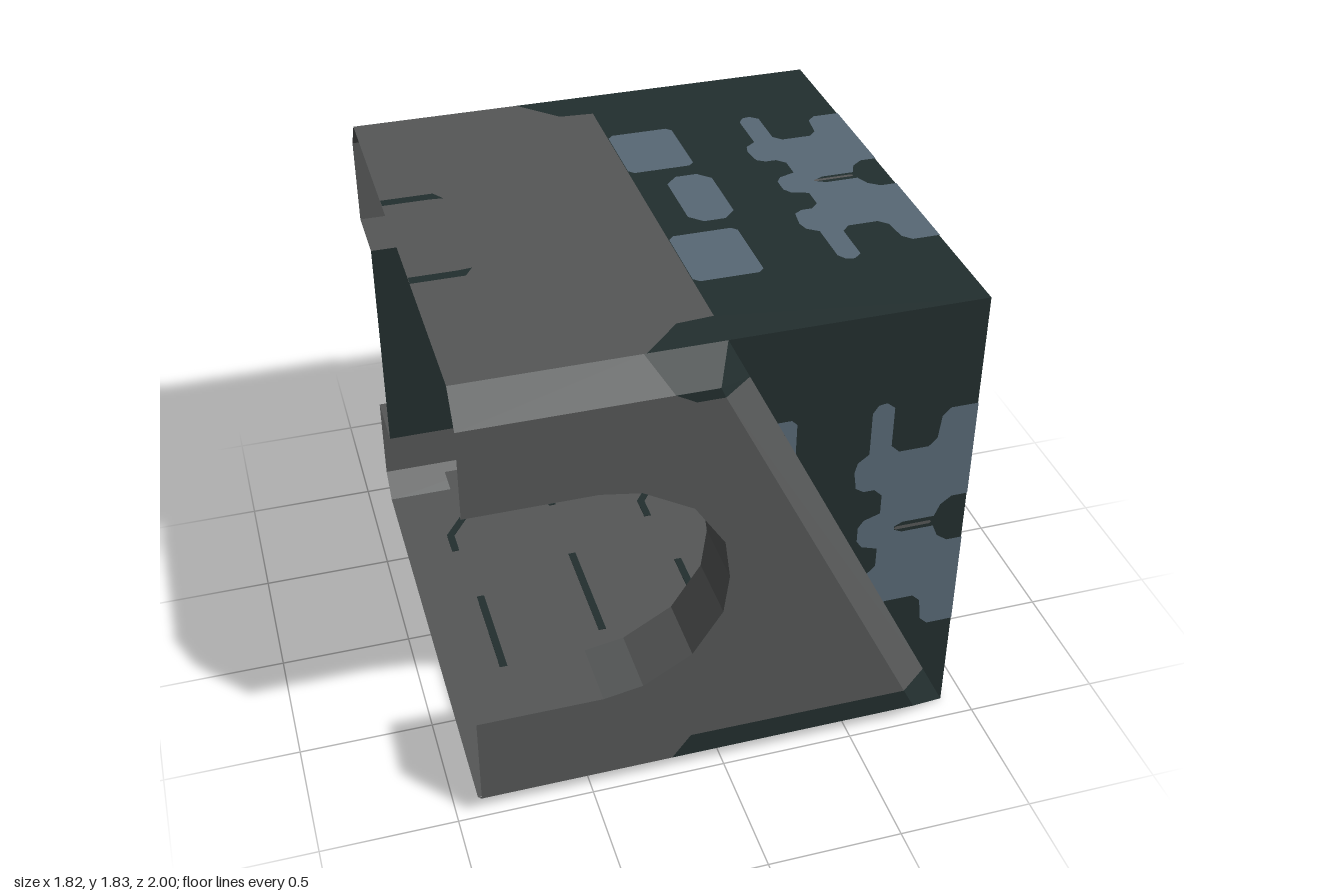
import * as THREE from 'three';

const material = (name, color) => new THREE.MeshStandardMaterial({ name, color, side: THREE.DoubleSide });
const H = 0.91, TOP = 1.82;

// Mirror an open outline across v = 0
const mirrored = (half) => [...half, ...half.slice().reverse().map(([u, v]) => [u, -v])];

// Keep the part of an outline lying right of the slanted edge (0, TOP) - (H, 0)
function clipToTriangle(pts) {
  const side = ([x, y]) => x + y / 2 - H;
  const out = [];
  pts.forEach((p, i) => {
    const q = pts[(i + 1) % pts.length], a = side(p), b = side(q);
    if (a >= 0) out.push(p);
    if (a * b < 0) out.push([p[0] + (q[0] - p[0]) * a / (a - b), p[1] + (q[1] - p[1]) * a / (a - b)]);
  });
  return out;
}

// Flat sheet from a 2D outline, placed in space by a mapping function
function sheet(parent, name, mat, pts, place) {
  if (pts.length < 3) return;
  const outline = pts.map(([u, v]) => new THREE.Vector2(u, v));
  if (THREE.ShapeUtils.isClockWise(outline)) outline.reverse();
  const geo = new THREE.BufferGeometry();
  const pos = outline.flatMap((p) => place(p.x, p.y));
  geo.setAttribute('position', new THREE.Float32BufferAttribute(pos, 3));
  geo.setIndex(THREE.ShapeUtils.triangulateShape(outline, []).flat());
  const flat = geo.toNonIndexed();
  flat.computeVertexNormals();
  const mesh = new THREE.Mesh(flat, mat);
  mesh.name = name;
  parent.add(mesh);
}

// Strip of quads between two matching 3D edges
function strip(parent, name, mat, a, b) {
  const pos = [];
  for (let i = 0; i < a.length - 1; i++) pos.push(...a[i], ...b[i], ...b[i + 1], ...a[i], ...b[i + 1], ...a[i + 1]);
  const geo = new THREE.BufferGeometry();
  geo.setAttribute('position', new THREE.Float32BufferAttribute(pos, 3));
  geo.computeVertexNormals();
  const mesh = new THREE.Mesh(geo, mat);
  mesh.name = name;
  parent.add(mesh);
}

const rect = (u0, u1, v0, v1, c = 0.02) => [
  [u0 + c, v0], [u1 - c, v0], [u1, v0 + c], [u1, v1 - c], [u1 - c, v1], [u0 + c, v1], [u0, v1 - c], [u0, v0 + c]];

// Painted blue shapes shared by the roof and the side walls
const splash = mirrored([[0.64, 0.008], [0.67, 0.022], [0.79, 0.022], [0.81, 0.07], [0.85, 0.1], [H, 0.1],
  [H, 0.49], [0.81, 0.49], [0.78, 0.46], [0.77, 0.37], [0.74, 0.34], [0.63, 0.34], [0.6, 0.37], [0.6, 0.53],
  [0.57, 0.555], [0.54, 0.55], [0.52, 0.52], [0.52, 0.35], [0.48, 0.32], [0.47, 0.28], [0.48, 0.21],
  [0.51, 0.19], [0.55, 0.19], [0.58, 0.16], [0.58, 0.08], [0.52, 0.06], [0.5, 0.03]]);
const paint = [splash, rect(0, 0.25, 0.24, 0.55), rect(0, 0.25, -0.55, -0.24), rect(0.11, 0.28, -0.17, 0.17, 0.045)];

// Half of the rounded side opening, heights measured from its middle
const opening = mirrored([[-H, 0.455], [-0.455, 0.455], [-0.31, 0.43], [-0.13, 0.325], [-0.02, 0.155], [0, 0]])
  .filter((p, i) => i !== 6)
  .map(([x, v]) => [x, v + 0.91]);

function buildSide(name, grey, dark, blue) {
  const g = new THREE.Group();
  g.name = name;
  const at = (z) => (x, y) => [x, y, z];

  // Recessed triangular wall with painted shapes
  sheet(g, 'sideWall', dark, [[0, TOP], [H, 0], [H, TOP]], at(H));
  paint.forEach((p) => sheet(g, 'sidePaint', blue, clipToTriangle(p.map(([x, v]) => [x, v + 0.91])), at(H + 0.004)));
  sheet(g, 'sidePaintLine', grey, rect(0.64, 0.78, 0.903, 0.917, 0.005), at(H + 0.005));

  // Raised plate with the opening and dark corner patches
  sheet(g, 'raisedPlate', grey, [[-H, 1.705], [-0.2, 1.705], [-0.13, 1.665], [-0.033, 1.665], [0.705, 0.18],
    [-0.13, 0.185], [-0.2, 0.09], [-H, 0.09], ...opening.slice().reverse()], at(1));
  sheet(g, 'plateTopPatch', dark, [[-0.2, 1.705], [-0.05, 1.705], [-0.033, 1.665], [-0.13, 1.665]], at(1));
  sheet(g, 'plateBottomPatch', dark, [[-0.2, 0.09], [-0.13, 0.185], [0.705, 0.18], [0.75, 0.09]], at(1));

  // Bevels around the plate
  const bevel = (label, mat, a, b) =>
    strip(g, label, mat, a.map(([x, y]) => [x, y, 1]), b.map(([x, y]) => [x, y, H]));
  bevel('topBevel', grey, [[-H, 1.705], [-0.2, 1.705]], [[-H, TOP], [-0.28, TOP]]);
  bevel('topBevelPatch', dark, [[-0.2, 1.705], [-0.05, 1.705]], [[-0.28, TOP], [0, TOP]]);
  bevel('slantBevelTop', dark, [[-0.05, 1.705], [-0.033, 1.665]], [[0, TOP], [0.0775, 1.665]]);
  bevel('slantBevel', grey, [[-0.033, 1.665], [0.705, 0.18]], [[0.0775, 1.665], [0.82, 0.18]]);
  bevel('slantBevelBottom', dark, [[0.705, 0.18], [0.75, 0.09]], [[0.82, 0.18], [H, 0]]);
  bevel('bottomBevelPatch', dark, [[0.75, 0.09], [-0.2, 0.09]], [[H, 0], [-0.3, 0]]);
  bevel('bottomBevel', grey, [[-0.2, 0.09], [-H, 0.09]], [[-0.3, 0], [-H, 0]]);

  // Inner lip of the opening
  strip(g, 'openingLip', grey, opening.map(([x, y]) => [x, y, 1]), opening.map(([x, y]) => [x, y, 0.74]));
  return g;
}

export function createModel() {
  const model = new THREE.Group();
  model.name = 'hollowBlock';
  const grey = material('grey', 0x555757);
  const dark = material('darkGreen', 0x222e2e);
  const blue = material('slateBlue', 0x586875);

  const front = buildSide('frontSide', grey, dark, blue);
  const back = buildSide('backSide', grey, dark, blue);
  back.scale.z = -1;
  // Only the back opening is closed off
  sheet(back, 'backOpeningPanel', dark, opening, (x, y) => [x, y, 0.74]);
  model.add(front, back);

  // Roof
  const roofAt = (y) => (x, z) => [x, y, -z];
  const roofEdge = [[-H, H], [-0.27, H], [-0.13, 0.77], [0, 0.76]];
  sheet(model, 'roofGrey', grey, mirrored(roofEdge), roofAt(TOP));
  sheet(model, 'roofDark', dark, [[H, H], ...mirrored(roofEdge.slice(1)), [H, -H]], roofAt(TOP));
  paint.forEach((p) => sheet(model, 'roofPaint', blue, p, roofAt(TOP + 0.004)));
  sheet(model, 'roofPaintLine', grey, rect(0.63, 0.78, -0.007, 0.007, 0.005), roofAt(TOP + 0.005));
  for (const s of [1, -1]) {
    sheet(model, 'roofSlot', dark,
      [[-H, 0.255 * s], [-0.74, 0.255 * s], [-0.69, 0.25 * s], [-0.72, 0.295 * s], [-H, 0.295 * s]]
        .map(([x, z]) => [x, z]), roofAt(TOP + 0.004));
  }

  // End wall with two stripes
  [[0, 0.425, dark], [0.425, 0.8, blue], [0.8, 1.02, dark], [1.02, 1.4, blue], [1.4, TOP, dark]]
    .forEach(([y0, y1, mat]) => sheet(model, mat === blue ? 'endStripe' : 'endWall', mat,
      [[-H, y0], [H, y0], [H, y1], [-H, y1]], (z, y) => [H, y, -z]));

  // Floor with thin grooves, seen from above and below
  sheet(model, 'floor', grey, [[-H, -H], [H, -H], [H, H], [-H, H]], (x, z) => [x, 0.003, z]);
  const groove = (x, z, path) => {
    for (let i = 0; i < path.length - 1; i++) {
      const [x0, z0] = path[i], [x1, z1] = path[i + 1];
      const bar = new THREE.Mesh(new THREE.BoxGeometry(0.03, 0.006, Math.hypot(x1 - x0, z1 - z0) + 0.015), dark);
      bar.name = 'floorGroove';
      bar.position.set(x + (x0 + x1) / 2, 0.003, z + (z0 + z1) / 2);
      bar.rotation.y = Math.atan2(x1 - x0, z1 - z0);
      model.add(bar);
    }
  };
  [0.69, 0.18, -0.24, -0.67].forEach((x, i) => {
    const s = i % 2 ? -1 : 1;
    groove(x, 0.64 * s, [[0.04, -0.17], [0.04, -0.06], [-0.04, 0.05], [-0.04, 0.15]]);
    groove(x, -0.08 + (i % 2 ? 0.16 : 0), [[0, -0.24], [0, 0.24]]);
    groove(x, -0.77 * s, [[0, -0.09], [0, 0.09]]);
  });
  return model;
}
